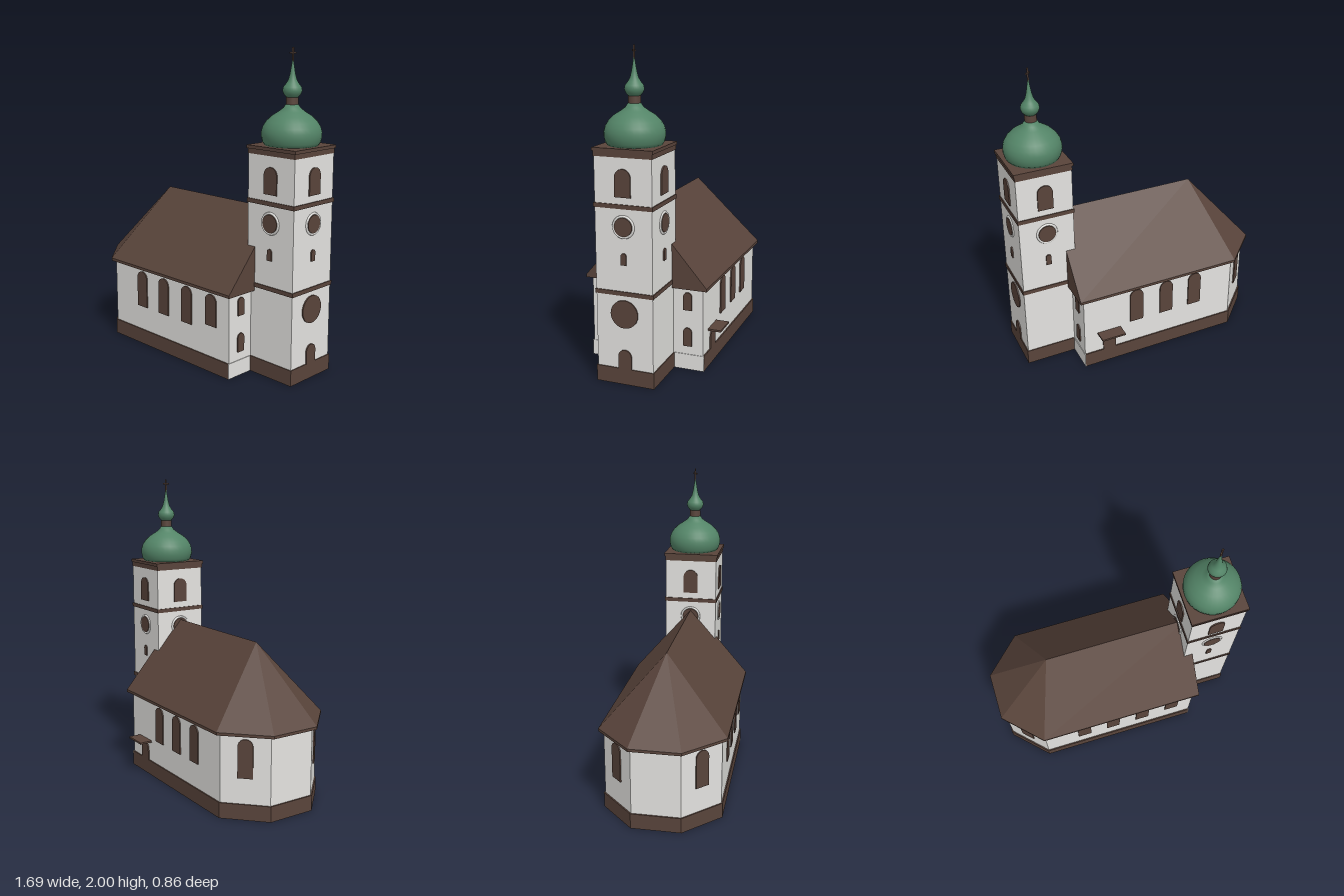
import * as THREE from 'three';

const white = new THREE.MeshStandardMaterial({ color: 0xe4e3e0 });
white.name = 'plaster white';
const brown = new THREE.MeshStandardMaterial({ color: 0x59443b });
brown.name = 'tile brown';
const green = new THREE.MeshStandardMaterial({ color: 0x538467 });
green.name = 'copper green';

const TX = 0.655, CZ = 0.022, TH = 0.18; // tower centre and half width

function add(parent, name, geo, mat, x = 0, y = 0, z = 0, ry = 0) {
  const m = new THREE.Mesh(geo, mat);
  m.name = name;
  m.position.set(x, y, z);
  m.rotation.y = ry;
  parent.add(m);
  return m;
}

const box = (w, h, d) => new THREE.BoxGeometry(w, h, d);

// Nave plan with a three-sided apse, [x, z] counterclockwise from above
function plan(east, west, half, apseHalf, shoulder) {
  return [[east, CZ + half], [east, CZ - half], [shoulder, CZ - half],
    [west, CZ - apseHalf], [west, CZ + apseHalf], [shoulder, CZ + half]];
}

function prism(outline, height) {
  const s = new THREE.Shape(outline.map(([x, z]) => new THREE.Vector2(x, -z)));
  return new THREE.ExtrudeGeometry(s, { depth: height, bevelEnabled: false }).rotateX(-Math.PI / 2);
}

// Flat polygons, each fanned into triangles
function polyhedron(polys) {
  const pos = [];
  for (const p of polys)
    for (let i = 1; i < p.length - 1; i++) pos.push(...p[0], ...p[i], ...p[i + 1]);
  const g = new THREE.BufferGeometry();
  g.setAttribute('position', new THREE.Float32BufferAttribute(pos, 3));
  g.computeVertexNormals();
  return g;
}

// Round-headed panel standing on y = 0, facing +z
function arch(w, h) {
  const s = new THREE.Shape();
  s.moveTo(-w / 2, 0);
  s.lineTo(w / 2, 0);
  s.lineTo(w / 2, h - w / 2);
  s.absarc(0, h - w / 2, w / 2, 0, Math.PI, false);
  s.closePath();
  return new THREE.ExtrudeGeometry(s, { depth: 0.008, bevelEnabled: false, curveSegments: 10 });
}

const disc = (r) => new THREE.CylinderGeometry(r, r, 0.008, 24).rotateX(Math.PI / 2).translate(0, 0, 0.004);

function roofGeometry() {
  const out = plan(0.535, -0.845, 0.405, 0.163, -0.6);
  const lo = out.map(([x, z]) => [x, 0.532, z]);
  const hi = out.map(([x, z]) => [x, 0.55, z]);
  const E = [0.535, 1.02, CZ], W = [-0.44, 1.02, CZ];
  const polys = [[...lo].reverse(), [hi[0], hi[1], E], [hi[1], hi[2], W, E],
    [hi[2], hi[3], W], [hi[3], hi[4], W], [hi[4], hi[5], W], [hi[5], hi[0], E, W]];
  for (let i = 0; i < 6; i++) {
    const j = (i + 1) % 6;
    polys.push([lo[i], lo[j], hi[j], hi[i]]);
  }
  return polyhedron(polys);
}

function buildNave() {
  const g = new THREE.Group();
  g.name = 'nave';
  add(g, 'naveWalls', prism(plan(0.505, -0.81, 0.373, 0.155, -0.59), 0.44), white, 0, 0.1, 0);
  add(g, 'navePlinth', prism(plan(0.505, -0.819, 0.381, 0.158, -0.594), 0.1), brown);
  add(g, 'naveRoof', roofGeometry(), brown);

  for (const s of [1, -1]) {
    const ry = s > 0 ? 0 : Math.PI;
    // Long side windows
    for (const x of [-0.305, -0.09, 0.13])
      add(g, 'naveWindow', arch(0.095, 0.245), brown, x, 0.265, CZ + s * 0.373, ry);
    // Apse windows on the slanted walls
    add(g, 'apseWindow', arch(0.095, 0.245), brown, -0.7, 0.265, CZ + s * 0.264,
      s > 0 ? -0.78 : Math.PI + 0.78);
    // End wall beside the tower
    add(g, 'endPlinth', box(0.008, 0.1, 0.2), white, 0.505, 0.05, CZ + s * 0.281);
    for (const [y, h] of [[0.155, 0.12], [0.39, 0.115]])
      add(g, 'endWindow', arch(0.055, h), brown, 0.505, y, CZ + s * 0.273, Math.PI / 2);
  }
  add(g, 'shortWindow', arch(0.095, 0.205), brown, 0.35, 0.305, CZ + 0.373);

  // Side entrance with a canopy at the back
  add(g, 'sideDoor', arch(0.09, 0.12), brown, 0.33, 0.1, CZ - 0.373, Math.PI);
  add(g, 'canopy', box(0.165, 0.012, 0.095), brown, 0.33, 0.24, -0.389);
  return g;
}

function buildTower() {
  const g = new THREE.Group();
  g.name = 'tower';
  g.position.set(TX, 0, CZ);
  const w = TH * 2;
  add(g, 'towerWalls', box(w, 1.29, w), white, 0, 0.745, 0);
  add(g, 'towerPlinth', box(w + 0.012, 0.1, w + 0.012), brown, 0, 0.05, 0);
  for (const y of [0.572, 1.095])
    add(g, 'towerBand', box(w + 0.012, 0.026, w + 0.012), brown, 0, y, 0);
  add(g, 'cornice', box(w + 0.006, 0.03, w + 0.006), brown, 0, 1.395, 0);
  add(g, 'corniceTop', box(w + 0.018, 0.02, w + 0.018), brown, 0, 1.42, 0);

  // The same openings on all four sides
  for (let i = 0; i < 4; i++) {
    const side = new THREE.Group();
    side.name = 'towerSide';
    side.rotation.y = i * Math.PI / 2;
    g.add(side);
    add(side, 'belfryWindow', arch(0.1, 0.165), brown, 0, 1.15, TH);
    add(side, 'roundPanel', disc(0.056), brown, 0, 0.975, TH);
    add(side, 'roundFrame', new THREE.TorusGeometry(0.063, 0.008, 6, 24), white, 0, 0.975, TH);
    if (i !== 3) add(side, 'slitWindow', arch(0.034, 0.072), brown, 0, 0.747, TH);
  }
  // Main entrance and rose window
  add(g, 'roseWindow', disc(0.087), brown, TH, 0.445, 0, Math.PI / 2);
  add(g, 'mainDoor', arch(0.085, 0.12), brown, TH, 0.1, 0, Math.PI / 2);
  return g;
}

function lathe(points) {
  return new THREE.LatheGeometry(points.map(([r, y]) => new THREE.Vector2(r, y)), 32);
}

function buildSpire() {
  const g = new THREE.Group();
  g.name = 'spire';
  g.position.set(TX, 0, CZ);
  add(g, 'onionDome', lathe([[0, 1.428], [0.162, 1.43], [0.174, 1.45], [0.181, 1.48], [0.181, 1.51],
    [0.172, 1.54], [0.153, 1.57], [0.12, 1.602], [0.08, 1.627], [0.053, 1.647], [0.038, 1.67], [0, 1.67]]), green);
  add(g, 'lanternNeck', new THREE.CylinderGeometry(0.036, 0.038, 0.055, 24), brown, 0, 1.69, 0);
  add(g, 'smallOnion', lathe([[0, 1.708], [0.034, 1.71], [0.05, 1.728], [0.059, 1.75], [0.054, 1.772],
    [0.038, 1.792], [0.025, 1.815], [0.016, 1.85], [0.008, 1.9], [0.004, 1.93], [0, 1.93]]), green);
  add(g, 'crossPost', box(0.009, 0.1, 0.009), brown, 0, 1.95, 0);
  add(g, 'crossArm', box(0.04, 0.01, 0.009), brown, 0, 1.968, 0, Math.PI / 4);
  return g;
}

export function createModel() {
  const model = new THREE.Group();
  model.name = 'church';
  model.add(buildNave(), buildTower(), buildSpire());
  return model;
}
